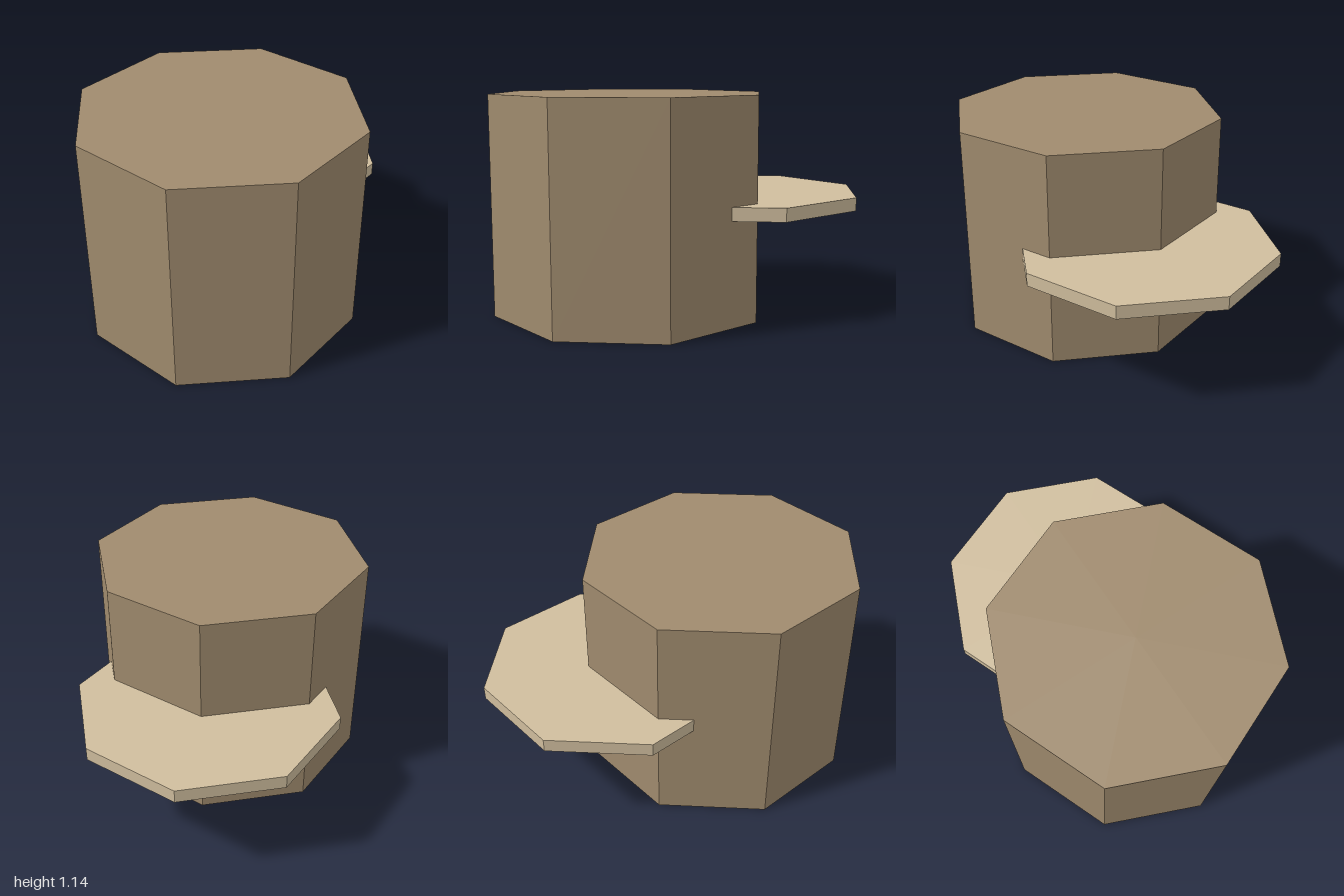
import * as THREE from 'three';

export function createModel() {
  const group = new THREE.Group();
  const bark = new THREE.MeshStandardMaterial({ color: 0xa08b6e });
  bark.name = 'bark brown';
  const cream = new THREE.MeshStandardMaterial({ color: 0xd0be9e });
  cream.name = 'pale cream';

  // Upright eight-sided prism with a corner facing the front
  const addPrism = (name, radius, bottom, top, z, material) => {
    const geometry = new THREE.CylinderGeometry(radius, radius, top - bottom, 8).toNonIndexed();
    geometry.computeVertexNormals();
    const mesh = new THREE.Mesh(geometry, material);
    mesh.name = name;
    mesh.position.set(0, (bottom + top) / 2, z);
    group.add(mesh);
  };

  // Thick trunk section
  addPrism('trunk', 0.726, 0, 1.137, 0.274, bark);
  // Thin shelf growing out of the back
  addPrism('shelf', 0.68, 0.535, 0.604, -0.32, cream);

  return group;
}
